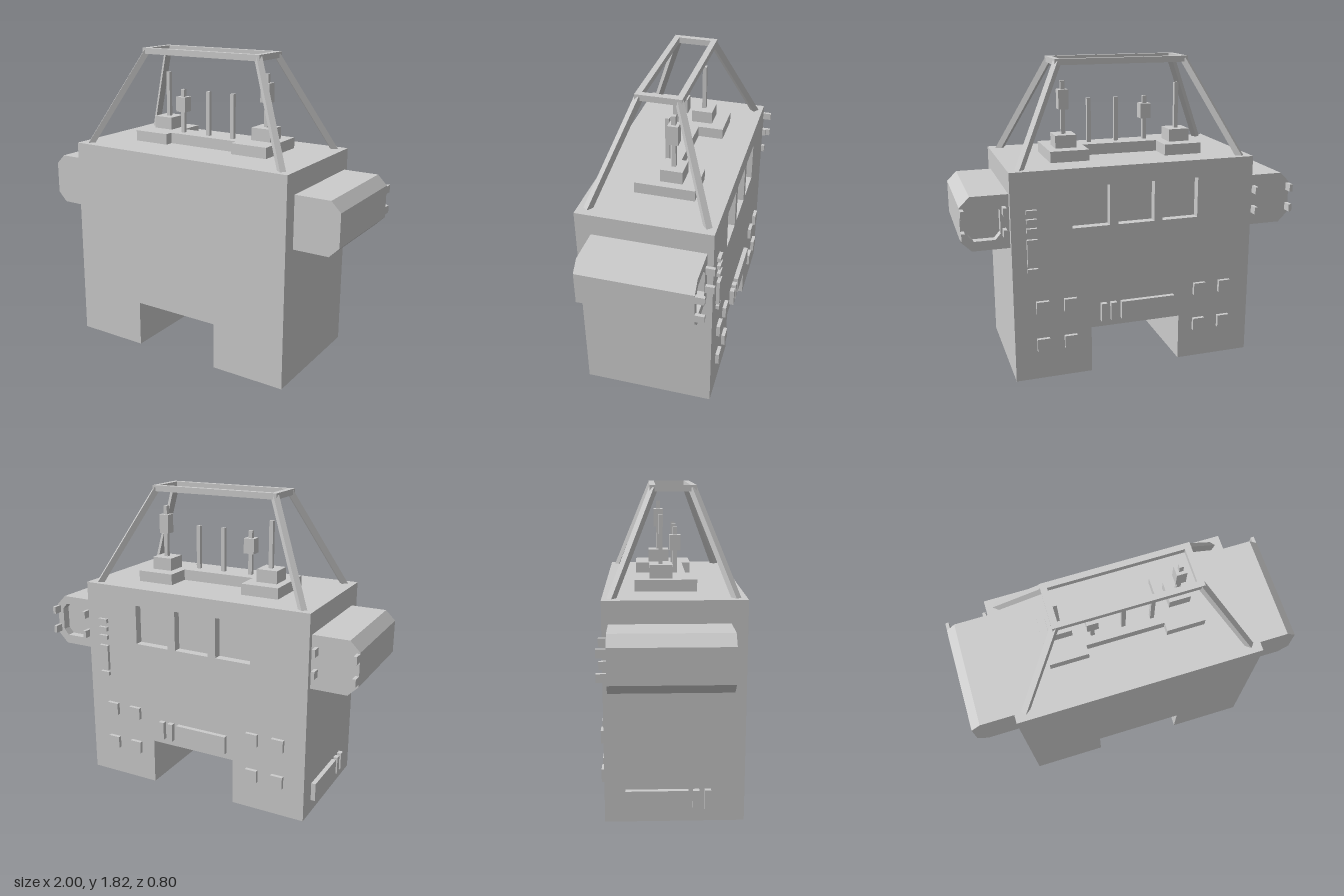
import * as THREE from 'three';

const material = new THREE.MeshStandardMaterial({ color: 0xcccccc, flatShading: true });

export function createModel() {
  const model = new THREE.Group();

  const add = (name, geometry) => {
    const mesh = new THREE.Mesh(geometry, material);
    mesh.name = name;
    model.add(mesh);
    return mesh;
  };

  // Box given by its limits on each axis
  const box = (name, x0, x1, y0, y1, z0, z1) => {
    const mesh = add(name, new THREE.BoxGeometry(x1 - x0, y1 - y0, z1 - z0));
    mesh.position.set((x0 + x1) / 2, (y0 + y1) / 2, (z0 + z1) / 2);
    return mesh;
  };

  // Outline extruded along z between two limits, with optional holes
  const slab = (name, outline, z0, z1, holes = []) => {
    const toPoints = (list) => list.map(([x, y]) => new THREE.Vector2(x, y));
    const shape = new THREE.Shape(toPoints(outline));
    holes.forEach((hole) => shape.holes.push(new THREE.Path(toPoints(hole))));
    const geometry = new THREE.ExtrudeGeometry(shape, { depth: z1 - z0, bevelEnabled: false });
    return add(name, geometry.translate(0, 0, z0));
  };

  // Square bar between two points
  const bar = (name, from, to, size) => {
    const length = from.distanceTo(to);
    const mesh = add(name, new THREE.BoxGeometry(size, size, length));
    mesh.position.copy(from).lerp(to, 0.5);
    mesh.lookAt(to);
    return mesh;
  };

  // Body with an arch between the legs and three recessed windows at the back
  const outline = [
    [-0.73, 0], [-0.275, 0], [-0.275, 0.28], [0.275, 0.28],
    [0.275, 0], [0.73, 0], [0.73, 1.245], [-0.73, 1.245],
  ];
  const windows = [-0.27, 0, 0.27].map((x) => [
    [x - 0.11, 0.9], [x - 0.11, 1.14], [x + 0.11, 1.14], [x + 0.11, 0.9],
  ]);
  slab('body', outline, -0.32, 0.4);
  slab('windowWall', outline, -0.37, -0.32, windows);

  // Chamfered side pods with a recessed back and clips
  const octagon = (x0, x1, y0, y1, c, side) => [
    [x0, y0], [x1 - c, y0], [x1, y0 + c], [x1, y1 - c], [x1 - c, y1], [x0, y1],
  ].map(([x, y]) => [side * x, y]);
  const hatch = (side) => [
    [0.78, 0.9], [0.81, 0.865], [0.93, 0.865], [0.96, 0.9],
    [0.96, 1.035], [0.93, 1.07], [0.81, 1.07], [0.78, 1.035],
  ].map(([x, y]) => [side * x, y]);
  for (const side of [-1, 1]) {
    const pod = octagon(0.73, 1, 0.81, 1.12, 0.058, side);
    slab('sidePod', pod, -0.285, 0.312);
    slab('podRim', pod, -0.335, -0.285, [hatch(side)]);
    for (const x of [0.76, 0.99]) {
      for (const y of [0.885, 1.01]) {
        box('podClip', side * x - 0.01, side * x + 0.01, y, y + 0.045, -0.387, -0.33);
      }
    }
  }

  // Square buttons on the back
  for (const x of [-0.565, -0.402, 0.402, 0.565]) {
    for (const y of [0.18, 0.41]) {
      box('button', x - 0.037, x + 0.037, y, y + 0.075, -0.392, -0.37);
    }
  }

  // Central slot panel on the back
  box('backPanel', -0.235, 0.095, 0.32, 0.43, -0.398, -0.37);
  box('backPanelTab', 0.125, 0.16, 0.32, 0.43, -0.398, -0.37);
  box('backPanelTab', 0.185, 0.22, 0.32, 0.43, -0.398, -0.37);

  // Indicator column on the back
  for (const y of [0.9, 0.953, 1.005]) box('indicator', 0.585, 0.645, y, y + 0.025, -0.39, -0.37);
  box('indicatorStrip', 0.585, 0.645, 0.7, 0.86, -0.39, -0.37);
  box('indicatorFoot', 0.585, 0.645, 0.663, 0.688, -0.39, -0.37);

  // Slot panel low on the right side
  box('sidePanel', -0.757, -0.73, 0.08, 0.19, -0.256, 0.09);
  box('sidePanelTab', -0.757, -0.73, 0.08, 0.19, 0.115, 0.15);
  box('sidePanelTab', -0.757, -0.73, 0.08, 0.19, 0.18, 0.215);

  // Stepped roof deck
  box('deckMiddle', -0.235, 0.23, 1.245, 1.31, -0.045, 0.095);
  box('deckRight', -0.465, -0.235, 1.245, 1.31, -0.197, 0.148);
  box('deckLeft', 0.23, 0.46, 1.245, 1.31, -0.197, 0.148);
  box('mastBaseRight', -0.42, -0.293, 1.31, 1.385, -0.115, 0.013);
  box('mastBaseLeft', 0.284, 0.411, 1.31, 1.385, -0.115, 0.013);

  // Antennas: x, z, foot, top
  const antennas = [
    [-0.355, -0.052, 1.385, 1.66],
    [-0.183, 0.035, 1.31, 1.575],
    [0, 0.035, 1.31, 1.575],
    [0.17, 0.035, 1.31, 1.575],
    [0.35, -0.052, 1.385, 1.695],
  ];
  for (const [x, z, y0, y1] of antennas) {
    box('antenna', x - 0.012, x + 0.012, y0, y1, z - 0.012, z + 0.012);
  }
  box('antennaBlock', -0.216, -0.15, 1.44, 1.53, 0.003, 0.068);
  box('antennaBlock', 0.32, 0.38, 1.53, 1.643, -0.082, -0.022);

  // Roof frame: a rectangular ring on four splayed legs
  for (const z of [-0.112, 0.113]) box('frameRail', -0.405, 0.405, 1.785, 1.82, z, z + 0.033);
  for (const x of [-0.405, 0.37]) box('frameEnd', x, x + 0.035, 1.785, 1.82, -0.079, 0.113);
  for (const side of [-1, 1]) {
    for (const [zTop, zFoot] of [[0.125, 0.345], [-0.092, -0.322]]) {
      bar('frameLeg',
        new THREE.Vector3(side * 0.387, 1.8, zTop),
        new THREE.Vector3(side * 0.668, 1.235, zFoot), 0.035);
    }
  }

  return model;
}
